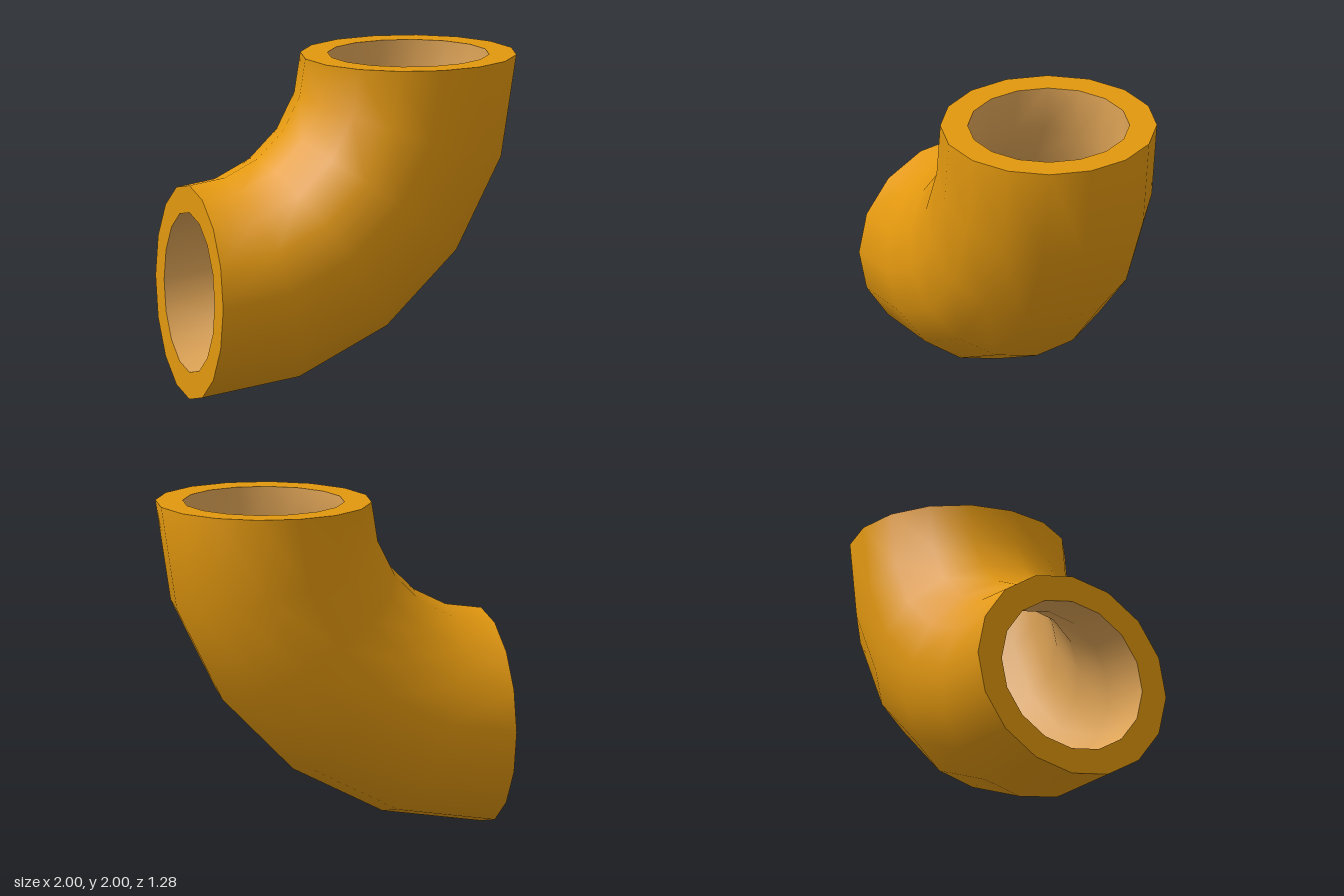
import * as THREE from 'three';

const BEND = 1.36, OUTER = 0.64, INNER = 0.478, SIDES = 16, STEPS = 5;

// Quarter bend around the point (-1, 2)
function bend(radius) {
  return new THREE.TorusGeometry(BEND, radius, SIDES, STEPS, Math.PI / 2)
    .rotateZ(-Math.PI / 2)
    .translate(-1, 2, 0);
}

// Turn a surface inside out
function flip(geometry) {
  const index = geometry.index;
  for (let i = 0; i < index.count; i += 3) {
    const b = index.getX(i + 1);
    index.setX(i + 1, index.getX(i + 2));
    index.setX(i + 2, b);
  }
  const normal = geometry.attributes.normal;
  for (let i = 0; i < normal.count; i++) {
    normal.setXYZ(i, -normal.getX(i), -normal.getY(i), -normal.getZ(i));
  }
  return geometry;
}

export function createModel() {
  const model = new THREE.Group();
  model.name = 'pipeElbow';

  const orange = new THREE.MeshStandardMaterial({ color: 0xe3980f });
  orange.name = 'orange';
  const tan = new THREE.MeshStandardMaterial({ color: 0xe0a557 });
  tan.name = 'tan';

  const add = (name, geometry, material) => {
    const mesh = new THREE.Mesh(geometry, material);
    mesh.name = name;
    model.add(mesh);
  };

  // Pipe walls
  add('outerWall', bend(OUTER), orange);
  add('innerWall', flip(bend(INNER)), tan);

  // Flat rims closing the wall thickness at both ends
  const rim = () => new THREE.RingGeometry(INNER, OUTER, SIDES, 1);
  add('topRim', rim().rotateX(-Math.PI / 2).translate(BEND - 1, 2, 0), orange);
  add('sideRim', rim().rotateY(-Math.PI / 2).translate(-1, 2 - BEND, 0), orange);

  return model;
}
